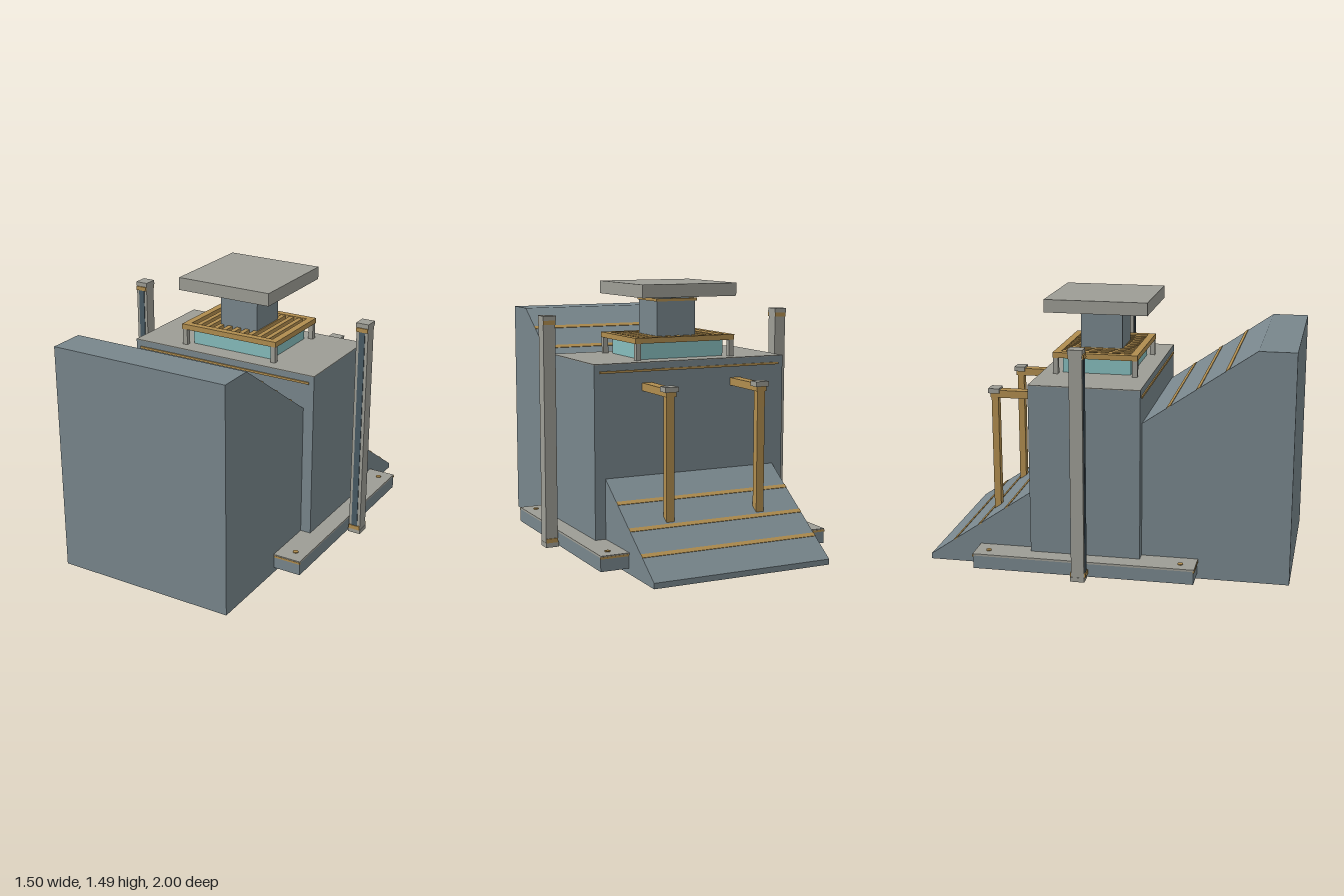
import * as THREE from 'three';

const mat = (name, color) => Object.assign(new THREE.MeshStandardMaterial({ color }), { name });

export function createModel() {
  const slate = mat('slate', 0x78868c);
  const stone = mat('stone grey', 0x9d9d95);
  const gold = mat('dull gold', 0xb08d4f);
  const glass = mat('pale teal glass', 0x86bdbd);
  const dark = mat('dark slate', 0x485a64);
  const teal = mat('deep teal', 0x2b7f8c);

  const model = new THREE.Group();
  model.name = 'rampTower';

  // box from its min and max on each axis
  const box = (name, m, x0, x1, y0, y1, z0, z1, parent = model) => {
    const mesh = new THREE.Mesh(new THREE.BoxGeometry(x1 - x0, y1 - y0, z1 - z0), m);
    mesh.position.set((x0 + x1) / 2, (y0 + y1) / 2, (z0 + z1) / 2);
    mesh.name = name;
    parent.add(mesh);
    return mesh;
  };
  const group = (name) => {
    const g = new THREE.Group();
    g.name = name;
    model.add(g);
    return g;
  };
  const CZ = -0.1; // middle of the tower

  // wedge: side profile extruded across x (shape x runs along -z)
  const profile = new THREE.Shape([[-1, 0.03], [1, 0.03], [1, 0.06], [-0.8, 1.3], [-1, 1.3]]
    .map(([a, b]) => new THREE.Vector2(a, b)));
  const wedgeGeo = new THREE.ExtrudeGeometry(profile, { depth: 1.02, bevelEnabled: false });
  wedgeGeo.translate(0, 0, -0.51).rotateY(Math.PI / 2);
  const wedge = new THREE.Mesh(wedgeGeo, slate);
  wedge.name = 'rampWedge';
  model.add(wedge);

  // gold stripes lying on the slope
  const slope = 1.24 / 1.8;
  for (const z of [-0.855, -0.71, -0.555, 0.34, 0.495, 0.645]) {
    const stripe = box('slopeStripe', gold, -0.51, 0.51, 0, 0.006, z - 0.012, z + 0.012);
    stripe.position.y = 0.06 + (z + 1) * slope;
    stripe.rotation.x = -Math.atan(slope);
  }

  // main block with its grey top and gold trim lines
  box('towerBody', slate, -0.57, 0.57, 0.1, 1.076, -0.405, 0.2);
  box('towerTop', stone, -0.57, 0.57, 1.076, 1.08, -0.405, 0.2);
  box('frontTrim', gold, -0.54, 0.54, 1.03, 1.042, 0.19, 0.207);
  box('backTrim', gold, -0.54, 0.54, 1.03, 1.042, -0.412, -0.39);

  // vent on top: glass box, legs and slatted frame
  const vent = group('roofVent');
  box('ventGlass', glass, -0.25, 0.25, 1.08, 1.172, -0.29, 0.09, vent);
  for (const s of [-1, 1]) {
    const x = s * 0.282;
    for (const z of [-0.32, 0.12])
      box('ventLeg', stone, x - 0.014, x + 0.014, 1.08, 1.17, z - 0.014, z + 0.014, vent);
    box('ventSideBar', gold, s * 0.28 - 0.02, s * 0.28 + 0.02, 1.17, 1.2, -0.335, 0.135, vent);
    const z = CZ + s * 0.215;
    box('ventEndBar', gold, -0.26, 0.26, 1.17, 1.2, z - 0.02, z + 0.02, vent);
  }
  for (let i = -4; i <= 4; i++)
    box('ventSlat', gold, i * 0.055 - 0.014, i * 0.055 + 0.014, 1.174, 1.196, -0.3, 0.1, vent);

  // neck, collar and flat cap
  box('neck', slate, -0.117, 0.117, 1.15, 1.385, CZ - 0.117, CZ + 0.117);
  box('neckCollar', gold, -0.124, 0.124, 1.385, 1.4, CZ - 0.124, CZ + 0.124);
  box('neckTop', slate, -0.112, 0.112, 1.4, 1.42, CZ - 0.112, CZ + 0.112);
  box('cap', stone, -0.282, 0.282, 1.415, 1.486, CZ - 0.285, CZ + 0.285);

  for (const s of [-1, 1]) {
    const side = s > 0 ? 'left' : 'right';
    // box mirrored to the given side
    const sideBox = (name, m, x0, x1, y0, y1, z0, z1, g) =>
      box(name, m, Math.min(s * x0, s * x1), Math.max(s * x0, s * x1), y0, y1, z0, z1, g);

    // low side rail with bolts
    const rail = group(side + 'Rail');
    sideBox('railBase', slate, 0.5, 0.668, 0.06, 0.132, -0.705, 0.505, rail);
    sideBox('railTop', stone, 0.5, 0.668, 0.132, 0.143, -0.708, 0.508, rail);
    for (const z of [-0.706, 0.506])
      sideBox('railEndTrim', gold, 0.512, 0.67, 0.126, 0.137, z - 0.004, z + 0.004, rail);
    for (const z of [-0.635, 0.425]) {
      const bolt = new THREE.Mesh(new THREE.CylinderGeometry(0.015, 0.015, 0.006, 12), gold);
      bolt.position.set(s * 0.6, 0.145, z);
      bolt.name = 'railBolt';
      rail.add(bolt);
    }

    // tall free-standing post
    const post = group(side + 'Post');
    sideBox('postShaft', stone, 0.68, 0.748, 0.085, 1.295, -0.138, -0.068, post);
    sideBox('postInlay', dark, 0.697, 0.731, 0.1, 1.28, -0.07, -0.064, post);
    for (const [y0, y1] of [[0.06, 0.085], [1.295, 1.32]])
      sideBox('postEnd', stone, 0.677, 0.75, y0, y1, -0.144, -0.066, post);
    for (const y of [0.085, 1.272])
      sideBox('postBand', gold, 0.6805, 0.7475, y, y + 0.023, -0.144, -0.06, post);

    // bracket behind the tower
    const bracket = group(side + 'Bracket');
    sideBox('bracketUpright', gold, 0.245, 0.29, 0.22, 0.94, -0.69, -0.652, bracket);
    sideBox('bracketArm', gold, 0.237, 0.295, 0.928, 0.97, -0.695, -0.4, bracket);
    sideBox('bracketCap', stone, 0.228, 0.304, 0.953, 0.98, -0.705, -0.643, bracket);
  }

  // underside plate with an oval base and ring
  box('underPlate', dark, -0.43, 0.43, 0.016, 0.035, CZ - 0.43, CZ + 0.43);
  const oval = new THREE.Mesh(new THREE.CylinderGeometry(1, 0.97, 0.014, 48), dark);
  oval.scale.set(0.41, 1, 0.35);
  oval.position.set(0, 0.011, CZ);
  oval.name = 'underOval';
  model.add(oval);
  const ringGeo = new THREE.TorusGeometry(0.98, 0.025, 8, 64).rotateX(Math.PI / 2);
  const ring = new THREE.Mesh(ringGeo, teal);
  ring.scale.set(0.415, 0.4, 0.36);
  ring.position.set(0, 0.01, CZ);
  ring.name = 'underRing';
  model.add(ring);

  return model;
}
